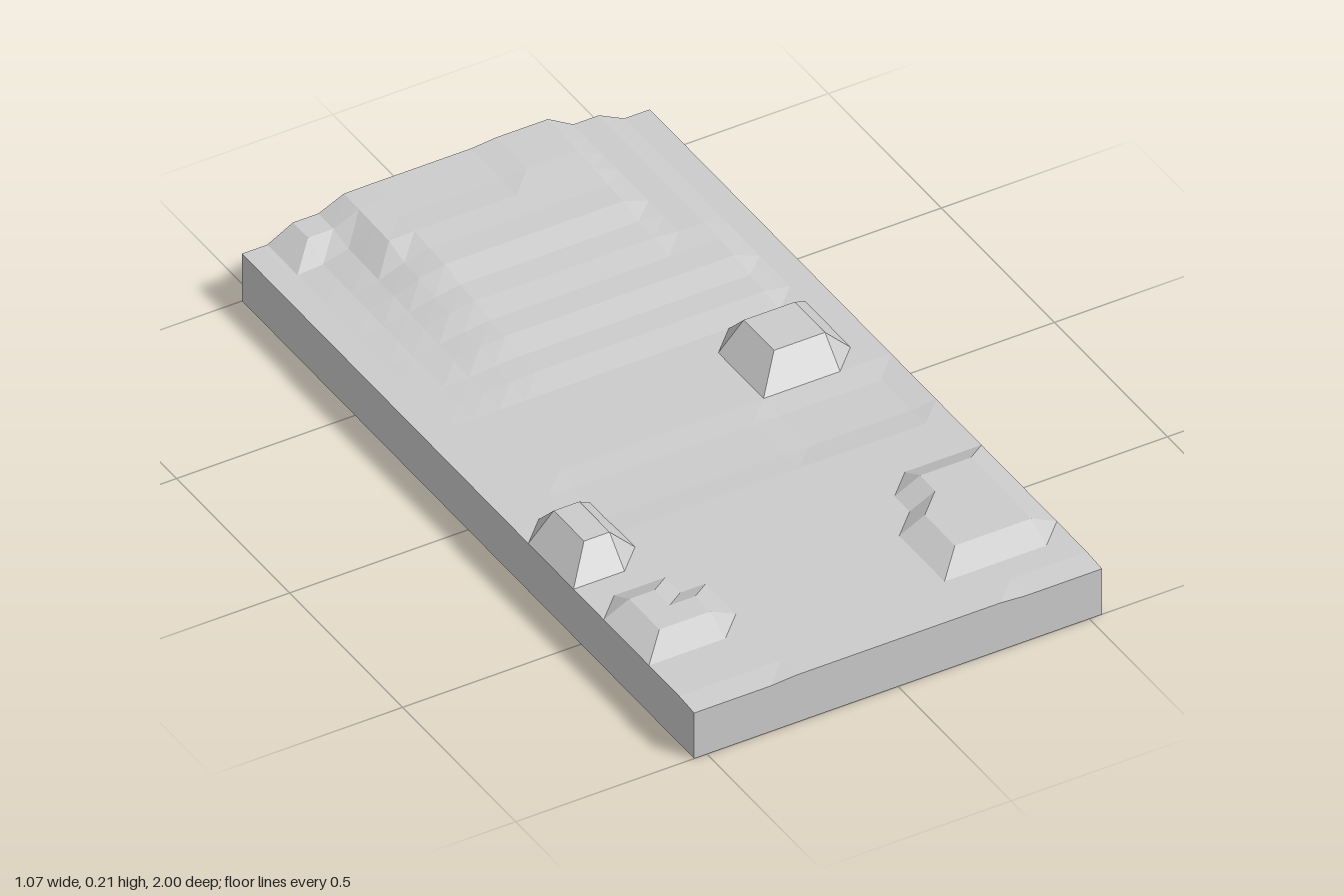
import * as THREE from 'three';

const CELL = 1 / 15, COLS = 16, ROWS = 30, GROUND = 0.133;

// Raised rectangles, in grid points: first/last column, first/last row, rise
const PLATEAUS = [
  [12, 14, 13, 15, 0.067],  // rocky block, left side
  [1, 2, 19, 21, 0.067],    // rocky block, right side
  [1, 2, 24, 26, 0.033],    // low shelf, front right
  [3, 3, 25, 26, 0.033],
  [13, 15, 23, 27, 0.033],  // low shelf, front left
  [12, 12, 25, 27, 0.033],
];

// Terraced rise of the rear mound, from the back row forwards
const TERRACES = [0.07, 0.069, 0.067, 0.066, 0.06, 0.058, 0.043, 0.04, 0.029, 0.027, 0.014, 0.012];

function moundRise(i, j) {
  const rise = TERRACES[j] ?? 0;
  if (i >= 15 || i <= 1) return 0;
  if (i >= 13) return Math.min(rise, 0.034);           // side shelf
  if (i >= 10) return rise + (j < 3 ? 0.004 : 0);      // crest
  if (i >= 5) return rise - (j < 3 ? 0.002 : 0);
  if (i === 4) return rise * (j < 4 ? 0.96 : 0.75);
  if (j < 2) return 0.037;                             // rear corner shelf
  return i === 3 ? rise * 0.35 : rise * 0.08;
}

function height(i, j) {
  for (const [i0, i1, j0, j1, rise] of PLATEAUS) {
    if (i >= i0 && i <= i1 && j >= j0 && j <= j1) return GROUND + rise;
  }
  // Shallow hollow across the middle, dipping front corners
  const hollow = j >= 17 && j <= 19 && i >= 3 && i < 16 ? (i >= 11 ? 0.007 : 0.004) : 0;
  const corner = j === ROWS && (i < 4 || i > 12) ? 0.005 : 0;
  return GROUND + moundRise(i, j) - hollow - corner;
}

export function createModel() {
  const group = new THREE.Group();
  group.name = 'terrainTile';

  // Slab whose gridded top follows the height rule; the walls follow its rim
  const geometry = new THREE.BoxGeometry(COLS * CELL, GROUND, ROWS * CELL, COLS, 1, ROWS);
  const p = geometry.attributes.position;
  for (let n = 0; n < p.count; n++) {
    const i = Math.round(p.getX(n) / CELL + COLS / 2);
    const j = Math.round(p.getZ(n) / CELL + ROWS / 2);
    p.setY(n, p.getY(n) > 0 ? height(i, j) : 0);
  }
  geometry.computeVertexNormals();

  const terrain = new THREE.Mesh(
    geometry,
    new THREE.MeshStandardMaterial({ color: 0xcccccc, flatShading: true })
  );
  terrain.name = 'terrain';
  group.add(terrain);
  return group;
}
